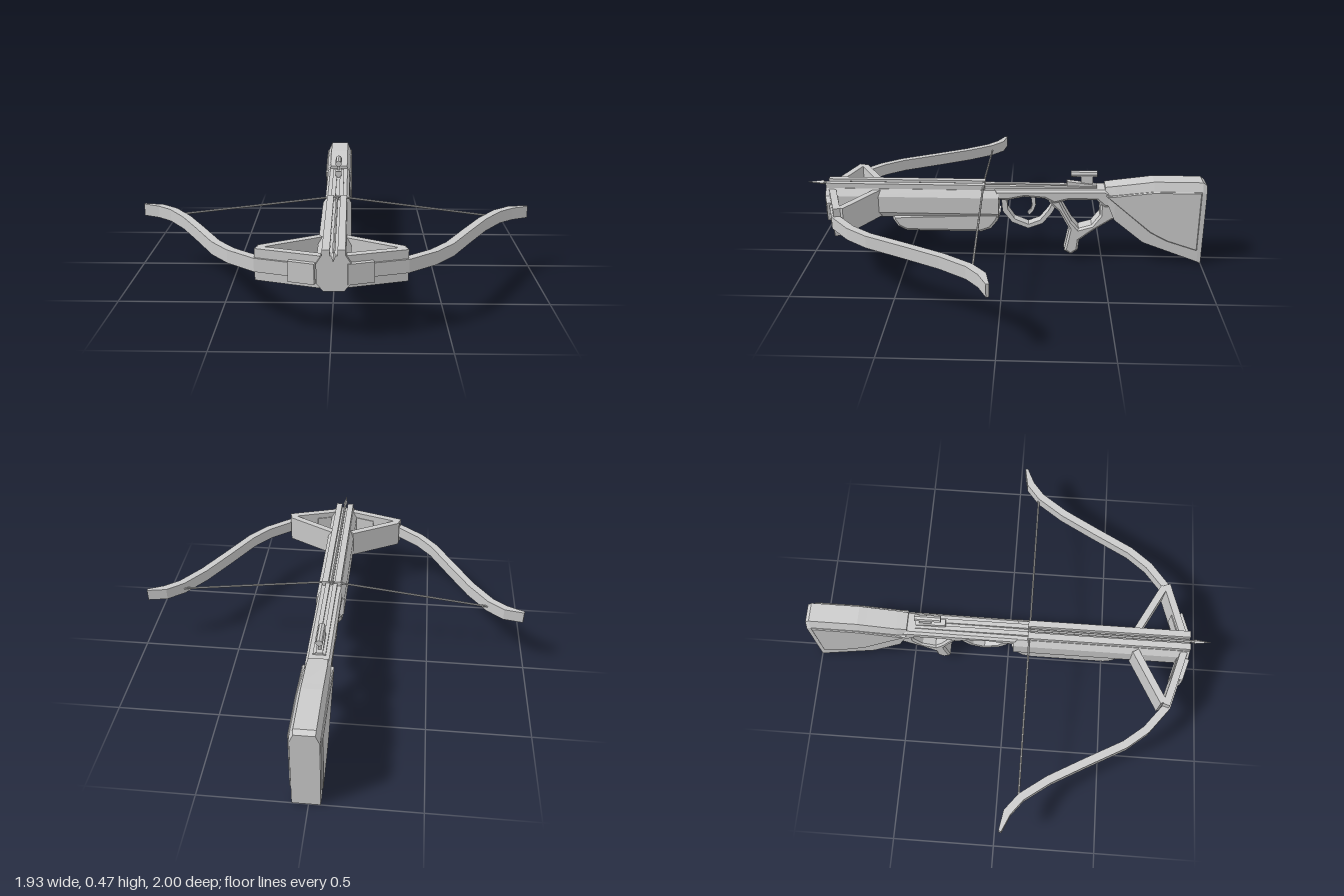
import * as THREE from 'three';

const mat = new THREE.MeshStandardMaterial({ color: 0xcccccc, flatShading: true });
const CX = 0.011; // centre line of the tiller

const toShape = (pts) => new THREE.Shape(pts.map(([a, b]) => new THREE.Vector2(a, b)));

function add(parent, name, geo, x = 0, y = 0, z = 0) {
  const m = new THREE.Mesh(geo, mat);
  m.name = name;
  m.position.set(x, y, z);
  parent.add(m);
  return m;
}

// Side profile given as [z, y], extruded to +-half across x
function side(pts, half, bevel = 0) {
  const depth = 2 * (half - bevel);
  const g = new THREE.ExtrudeGeometry(toShape(pts), {
    depth, bevelEnabled: bevel > 0, bevelThickness: bevel, bevelSize: bevel, bevelOffset: -bevel, bevelSegments: 1,
  });
  return g.translate(0, 0, -depth / 2).rotateY(-Math.PI / 2);
}

// Plan outline given as [x, z], extruded from y0 to y1
function plan(pts, y0, y1) {
  const s = toShape(pts.map(([x, z]) => [x, -z]));
  return new THREE.ExtrudeGeometry(s, { depth: y1 - y0, bevelEnabled: false }).rotateX(-Math.PI / 2).translate(0, y0, 0);
}

// Outline of a band of thickness t(i) following a path
function ribbon(pts, t) {
  const a = [], b = [];
  pts.forEach((p, i) => {
    const q = pts[Math.max(i - 1, 0)], r = pts[Math.min(i + 1, pts.length - 1)];
    const dx = r[0] - q[0], dy = r[1] - q[1], k = t(i) / 2 / Math.hypot(dx, dy);
    a.push([p[0] - dy * k, p[1] + dx * k]);
    b.unshift([p[0] + dy * k, p[1] - dx * k]);
  });
  return [...a, ...b];
}

// Cross-section in [x, y], extruded from z0 to z1
function along(pts, z0, z1) {
  return new THREE.ExtrudeGeometry(toShape(pts), { depth: z1 - z0, bevelEnabled: false }).translate(0, 0, z0);
}

// Closed skin through equal-sized rings, listed from front to back
function loft(rings) {
  const n = rings[0].length, pos = rings.flat(2), idx = [];
  for (let r = 0; r < rings.length - 1; r++)
    for (let i = 0; i < n; i++) {
      const a = r * n + i, b = r * n + (i + 1) % n;
      idx.push(a, a + n, b, b, a + n, b + n);
    }
  const last = (rings.length - 1) * n;
  for (let i = 1; i < n - 1; i++) idx.push(0, i, i + 1, last, last + i + 1, last + i);
  const g = new THREE.BufferGeometry();
  g.setAttribute('position', new THREE.Float32BufferAttribute(pos, 3));
  g.setIndex(idx);
  const flat = g.toNonIndexed();
  flat.computeVertexNormals();
  return flat;
}

function rod(a, b, r0, r1 = r0, sides = 6) {
  const A = new THREE.Vector3(...a), B = new THREE.Vector3(...b), d = B.clone().sub(A);
  const g = new THREE.CylinderGeometry(r1, r0, d.length(), sides);
  g.applyQuaternion(new THREE.Quaternion().setFromUnitVectors(new THREE.Vector3(0, 1, 0), d.normalize()));
  const m = A.add(B).multiplyScalar(0.5);
  return g.translate(m.x, m.y, m.z);
}

export function createModel() {
  const model = new THREE.Group();
  model.name = 'crossbow';
  const tiller = new THREE.Group();
  tiller.name = 'tiller';
  tiller.position.x = CX;
  model.add(tiller);

  // Fore-end body, rails and handguard
  add(tiller, 'foreBody', along([
    [-0.042, 0.225], [0.042, 0.225], [0.072, 0.26], [0.072, 0.345], [0.05, 0.38], [-0.05, 0.38], [-0.072, 0.345], [-0.072, 0.26],
  ], 0.03, 0.9));
  for (const s of [-1, 1]) {
    add(tiller, 'boltRail', new THREE.BoxGeometry(0.032, 0.03, 0.8), s * 0.032, 0.39, 0.5);
    add(tiller, 'rearRail', new THREE.BoxGeometry(0.022, 0.02, 0.56), s * 0.019, 0.386, -0.18);
  }
  add(tiller, 'handguard', side([
    [0.57, 0.24], [0.57, 0.215], [0.545, 0.175], [0.5, 0.152], [0.12, 0.152], [0.07, 0.17], [0.035, 0.215], [0.02, 0.26],
  ], 0.058, 0.015));

  // Receiver, thumbhole grip, trigger and guard
  add(tiller, 'receiver', side([
    [0.05, 0.383], [-0.5, 0.39], [-0.56, 0.36], [-0.56, 0.30], [-0.5, 0.30], [-0.46, 0.335], [-0.32, 0.335],
    [-0.25, 0.315], [-0.2, 0.34], [-0.1, 0.348], [-0.02, 0.33], [0.05, 0.33],
  ], 0.06, 0.012));
  add(tiller, 'grip', side([
    [-0.2, 0.345], [-0.27, 0.345], [-0.3, 0.285], [-0.34, 0.215], [-0.375, 0.175], [-0.44, 0.195], [-0.48, 0.25],
    [-0.48, 0.3], [-0.46, 0.345], [-0.56, 0.345], [-0.58, 0.24], [-0.54, 0.225], [-0.45, 0.165], [-0.38, 0.11],
    [-0.375, 0.055], [-0.34, 0.03], [-0.305, 0.05], [-0.328, 0.17], [-0.275, 0.265], [-0.23, 0.31],
  ], 0.046, 0.01));
  add(tiller, 'triggerGuard', side(ribbon([
    [0.005, 0.34], [-0.002, 0.265], [-0.045, 0.208], [-0.12, 0.178], [-0.185, 0.203], [-0.23, 0.26], [-0.26, 0.32],
  ], (i) => (i < 2 ? 0.028 : 0.022)), 0.028));
  add(tiller, 'trigger', side(ribbon([[-0.14, 0.35], [-0.147, 0.29], [-0.138, 0.26], [-0.12, 0.24]], (i) => 0.022 - i * 0.003), 0.012));

  // Shoulder stock with chamfered comb and raised cheek panels
  const ring = (z, yb, yt, w, top) => [
    [-w, yb, z], [w, yb, z], [w, yt - 0.045, z], [top, yt, z], [-top, yt, z], [-w, yt - 0.045, z],
  ];
  add(tiller, 'stock', loft([
    ring(-0.5, 0.35, 0.403, 0.058, 0.045), ring(-0.55, 0.235, 0.41, 0.064, 0.048), ring(-0.7, 0.115, 0.43, 0.066, 0.048),
    ring(-0.74, 0.1, 0.436, 0.066, 0.048), ring(-0.98, 0.012, 0.436, 0.066, 0.048), ring(-1, 0.0, 0.42, 0.064, 0.046),
  ]));
  add(tiller, 'cheekPanels', side([
    [-0.505, 0.365], [-0.53, 0.365], [-0.74, 0.391], [-0.975, 0.391], [-0.975, 0.075], [-0.82, 0.125], [-0.735, 0.17],
  ], 0.074, 0.005));

  // Rear sight
  add(tiller, 'sightBase', side([[-0.31, 0.385], [-0.31, 0.42], [-0.46, 0.402], [-0.46, 0.385]], 0.016));
  add(tiller, 'sightPost', new THREE.BoxGeometry(0.014, 0.05, 0.06), 0, 0.425, -0.41);
  add(tiller, 'sightTube', rod([0, 0.457, -0.33], [0, 0.457, -0.46], 0.017, 0.017, 8));

  // Bolt
  add(tiller, 'boltShaft', rod([0, 0.392, 0.1], [0, 0.392, 0.93], 0.007));
  add(tiller, 'boltHead', rod([0, 0.392, 0.92], [0, 0.392, 1.0], 0.012, 0.001, 4));

  // Limbs, riser frame and string, mirrored
  const limbPath = [
    [0.04, 0.88], [0.315, 0.796], [0.435, 0.7], [0.515, 0.6], [0.615, 0.415], [0.71, 0.245], [0.8, 0.12], [0.875, 0.06], [0.965, 0.032],
  ];
  for (const s of [-1, 1]) {
    const mir = (pts) => pts.map(([x, z]) => [s * x, z]);
    const bar = (pts, t, y0, y1) => plan(ribbon(mir(pts), t), y0, y1);
    add(model, 'limb', bar(limbPath, (i) => (i === 8 ? 0.014 : 0.038), 0.275, 0.335));
    add(model, 'frontBrace', bar([[0.04, 0.873], [0.316, 0.788]], () => 0.034, 0.235, 0.375));
    add(model, 'rearBrace', bar([[0.05, 0.635], [0.305, 0.775]], () => 0.034, 0.235, 0.375));
    add(model, 'limbPocket', bar([[0.06, 0.876], [0.17, 0.842]], () => 0.06, 0.255, 0.345));
    add(model, 'string', rod([s * 0.805, 0.3, 0.108], [CX, 0.4, 0.108], 0.005));
  }
  return model;
}
